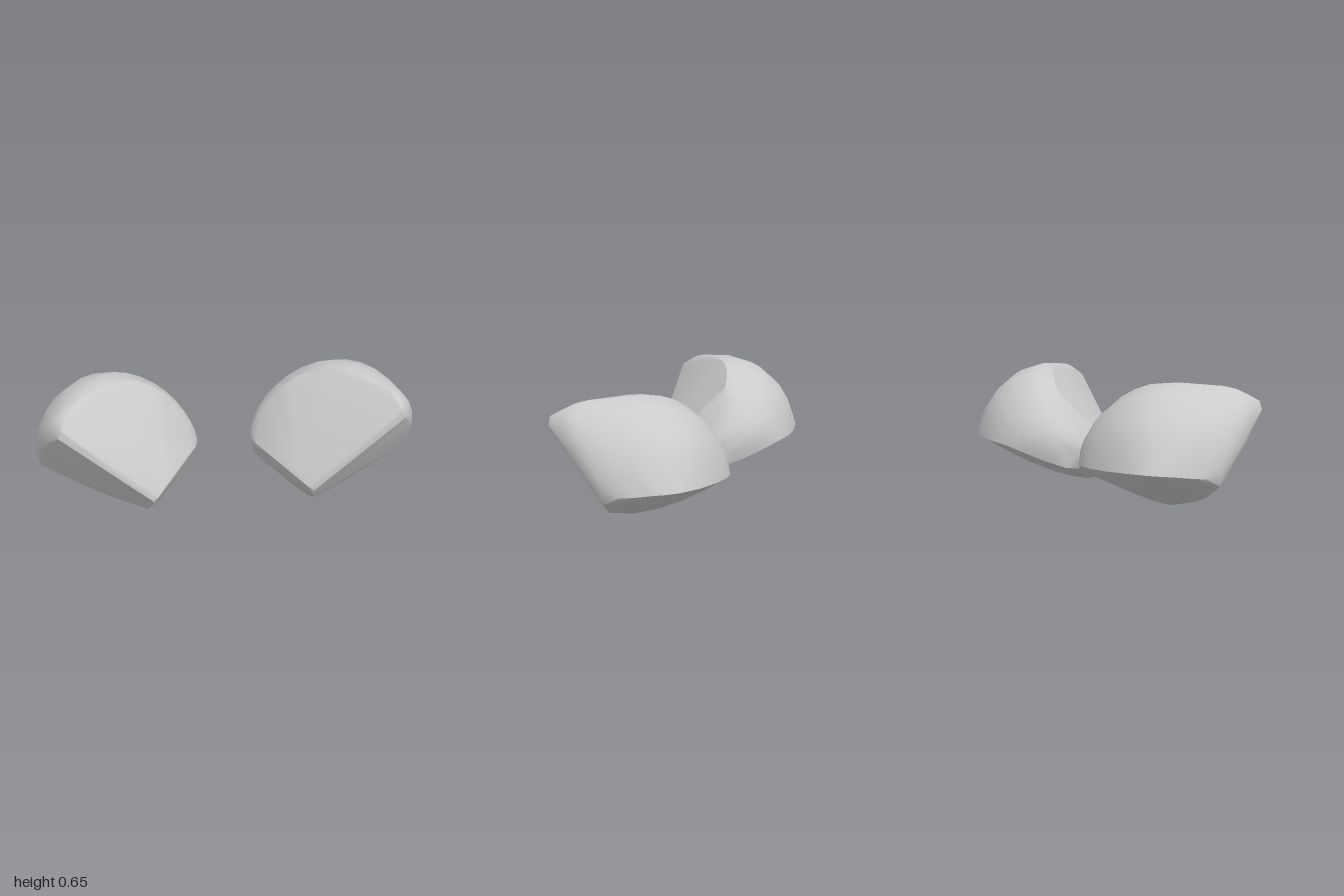
import * as THREE from 'three';
import { ConvexGeometry } from 'three/addons/geometries/ConvexGeometry.js';
import { toCreasedNormals } from 'three/addons/utils/BufferGeometryUtils.js';

const vec = (p) => new THREE.Vector3(...p);
const curve = (points) => new THREE.CatmullRomCurve3(points.map(vec));

// Rim between the flat inner cut and the dome, from the sharp front corner to the inner tip
const upperRim = curve([
  [0.85, 0.56, 0.38], [0.8, 0.625, 0.26], [0.7, 0.64, 0.14], [0.58, 0.643, 0.04], [0.46, 0.605, -0.04],
  [0.34, 0.52, -0.07], [0.24, 0.41, -0.07], [0.165, 0.3, -0.06], [0.14, 0.22, -0.04],
]);

// Rim below the dome, along the outer cut and around the back
const lowerRim = curve([
  [0.87, 0.52, 0.38], [0.95, 0.37, 0.21], [1, 0.24, 0], [0.96, 0.25, -0.17], [0.89, 0.26, -0.3],
  [0.6, 0.25, -0.385], [0.38, 0.235, -0.36], [0.24, 0.17, -0.235], [0.168, 0.125, -0.12],
]);

// Front ridge foot and the worn underside
const underside = [
  [0.42, 0.13, 0.385], [0.39, 0.14, 0.375], [0.41, 0.1, 0.37], [0.33, 0.2, 0.26], [0.21, 0.2, 0.09],
  [0.165, 0.22, 0.03], [0.44, 0.03, 0.3], [0.42, 0.012, 0.25], [0.37, 0.03, 0.21], [0.43, 0, 0.18],
  [0.6, 0.04, 0.19], [0.8, 0.1, 0.1], [0.98, 0.19, 0.05], [0.17, 0.115, -0.05], [0.48, 0.008, 0.12],
  [0.5, 0.045, 0], [0.52, 0.11, -0.15], [0.55, 0.187, -0.29],
].map(vec);

// Dome points: blend between the rims, pushed outward from the middle of the chunk
function domePoints(steps = 18, rows = 6) {
  const centre = new THREE.Vector3(0.6, 0.3, 0.05);
  const points = [];
  for (let i = 0; i <= steps; i++) {
    const t = i / steps;
    for (let j = 0; j <= rows; j++) {
      const s = j / rows;
      const p = upperRim.getPoint(t).lerp(lowerRim.getPoint(t), s);
      const bulge = 0.135 * Math.sin(Math.PI * s ** 0.85) * Math.sin(Math.PI * t) * (1.3 - 0.75 * t);
      p.addScaledVector(p.clone().sub(centre).normalize(), bulge);
      p.set(Math.min(p.x, 1), Math.min(p.y, 0.65), Math.max(p.z, -0.39));
      points.push(p);
    }
  }
  return points;
}

export function createModel() {
  const group = new THREE.Group();
  const material = new THREE.MeshStandardMaterial({ color: 0xcccccc });
  const points = [...domePoints(), ...underside];

  // Mirrored pair of chunks
  for (const side of [1, -1]) {
    const hull = new ConvexGeometry(points.map((p) => new THREE.Vector3(p.x * side, p.y, p.z)));
    const chunk = new THREE.Mesh(toCreasedNormals(hull, 0.65), material);
    chunk.name = side > 0 ? 'leftChunk' : 'rightChunk';
    group.add(chunk);
  }
  return group;
}
